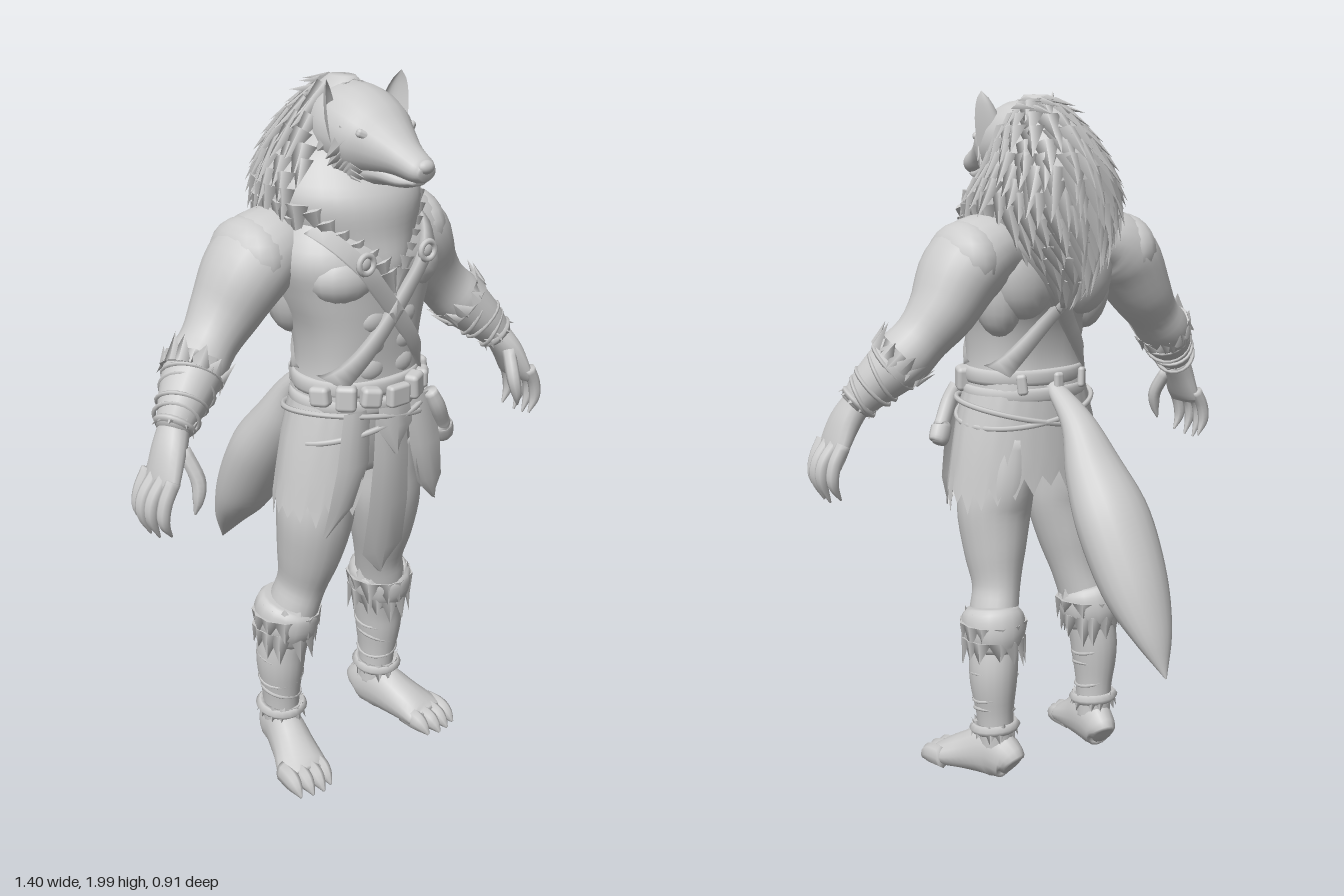
import * as THREE from 'three';
import { mergeGeometries } from 'three/addons/utils/BufferGeometryUtils.js';
import { RoundedBoxGeometry } from 'three/addons/geometries/RoundedBoxGeometry.js';

const V = (x, y, z) => new THREE.Vector3(x, y, z);
const { sin, cos, abs, PI, sign, pow } = Math;
let seed = 7;
const rnd = () => ((seed = (seed * 16807) % 2147483647) / 2147483647);

// Surface through rows of points; closed rows wrap round and get end caps
function skin(rows, closed = true) {
  const n = rows[0].length, pos = [], idx = [];
  rows.forEach(r => r.forEach(p => pos.push(p.x, p.y, p.z)));
  for (let i = 0; i < rows.length - 1; i++) for (let j = 0; j < (closed ? n : n - 1); j++) {
    const a = i * n + j, b = i * n + (j + 1) % n;
    idx.push(a, b, b + n, a, b + n, a + n);
  }
  if (closed) [0, rows.length - 1].forEach((r, end) => {
    const c = rows[r].reduce((s, p) => s.add(p), V(0, 0, 0)).divideScalar(n), k = pos.length / 3;
    pos.push(c.x, c.y, c.z);
    for (let j = 0; j < n; j++) {
      const a = r * n + j, b = r * n + (j + 1) % n;
      end ? idx.push(a, b, k) : idx.push(b, a, k);
    }
  });
  const g = new THREE.BufferGeometry();
  g.setAttribute('position', new THREE.Float32BufferAttribute(pos, 3));
  g.setIndex(idx);
  g.computeVertexNormals();
  return g;
}

// Limb along [x, y, z, radiusU, radiusV] stations
function limb(st, ref = V(0, 0, 1), sides = 16, steps = 4) {
  const path = new THREE.CatmullRomCurve3(st.map(s => V(s[0], s[1], s[2])), false, 'catmullrom', 0.5);
  const rad = new THREE.CatmullRomCurve3(st.map(s => V(s[3], s[4], 0)), false, 'catmullrom', 0.5);
  const n = (st.length - 1) * steps, rows = [];
  for (let i = 0; i <= n; i++) {
    const c = path.getPoint(i / n), t = path.getTangent(i / n), r = rad.getPoint(i / n);
    const u = t.clone().cross(ref).normalize(), v = t.clone().cross(u);
    rows.push(Array.from({ length: sides }, (_, j) => {
      const q = j / sides * 2 * PI;
      return c.clone().addScaledVector(u, r.x * cos(q)).addScaledVector(v, r.y * sin(q));
    }));
  }
  return skin(rows);
}

function clean(g) {
  const r = g.index ? g.toNonIndexed() : g;
  r.deleteAttribute('uv');
  return r;
}
const merge = list => mergeGeometries(list.map(clean));
const ball = (x, y, z, a, b, c) => new THREE.SphereGeometry(1, 18, 12).scale(a, b, c).translate(x, y, z);

function mirrored(g) {
  const m = clean(g.clone()).scale(-1, 1, 1);
  for (const a of [m.attributes.position, m.attributes.normal]) for (let i = 0; i < a.count; i += 3) {
    const p = V().fromBufferAttribute(a, i + 1), q = V().fromBufferAttribute(a, i + 2);
    a.setXYZ(i + 1, q.x, q.y, q.z);
    a.setXYZ(i + 2, p.x, p.y, p.z);
  }
  return m;
}

// Flattened pointed lock of fur
function lock(p, dir, out, w, h) {
  const y = dir.clone().normalize(), x = y.clone().cross(out).normalize(), z = x.clone().cross(y);
  return clean(new THREE.ConeGeometry(w, h, 4)).scale(1, 1, 0.36).translate(0, h / 2 - 0.01, 0)
    .applyMatrix4(new THREE.Matrix4().makeBasis(x, y, z).setPosition(p));
}

// Ring of fur locks round an axis
function furRing(c, axis, r, n, len, flare = 0.3, w = 0.03) {
  const t = axis.clone().normalize(), u = t.clone().cross(V(0, 0, 1)).normalize(), v = t.clone().cross(u), out = [];
  for (let i = 0; i < n; i++) {
    const q = (i + rnd() * 0.5) / n * 2 * PI, o = u.clone().multiplyScalar(cos(q)).addScaledVector(v, sin(q));
    out.push(lock(c.clone().addScaledVector(o, r), t.clone().addScaledVector(o, flare), o, w, len * (0.7 + 0.6 * rnd())));
  }
  return merge(out);
}

// Band wound round a limb
function wrap(c, axis, r, tube = 0.006) {
  const q = new THREE.Quaternion().setFromUnitVectors(V(0, 0, 1), axis.clone().normalize());
  return new THREE.TorusGeometry(r, tube, 5, 20).applyQuaternion(q).translate(c.x, c.y, c.z);
}

// Horizontal sections [radiusX, centreZ, radiusZ] at even heights
const section = (y0, y1, list) => {
  const c = new THREE.CatmullRomCurve3(list.map(s => V(...s)), false, 'catmullrom', 0.5);
  return y => c.getPoint(THREE.MathUtils.clamp((y - y0) / (y1 - y0), 0, 1));
};
const torsoAt = section(0.95, 1.75, [[.17, .175, .12], [.185, .18, .14], [.178, .185, .145], [.168, .19, .135],
  [.18, .185, .145], [.215, .165, .17], [.24, .15, .185], [.19, .12, .16], [.11, .12, .11]]);
const maneAt = section(1.4, 2.0, [[.02, .13, .14], [.115, .125, .215], [.19, .11, .225], [.215, .105, .22],
  [.165, .08, .175], [.105, .1, .12], [.01, .13, .02]]);
const onRing = (s, y, q, e = 1) => V(s.x * sign(cos(q)) * pow(abs(cos(q)), e), y, s.y + s.z * sign(sin(q)) * pow(abs(sin(q)), e));
const stack = (at, y0, y1, n, sides, e) => skin(Array.from({ length: n + 1 }, (_, i) => {
  const y = y0 + (y1 - y0) * i / n;
  return Array.from({ length: sides }, (_, j) => onRing(at(y), y, -j / sides * 2 * PI, e));
}));
const torsoZ = (x, y, side) => {
  const s = torsoAt(y), k = Math.min(0.97, abs(x / s.x));
  return s.y + side * s.z * pow(1 - pow(k, 2.5), 0.4);
};

export function createModel() {
  const model = new THREE.Group();
  const grey = new THREE.MeshStandardMaterial({ color: 0xcccccc, side: THREE.DoubleSide });
  grey.name = 'clay grey';
  const add = (name, g) => {
    const m = new THREE.Mesh(g, grey);
    m.name = name;
    model.add(m);
  };
  const pair = (name, g) => { add(name + 'Left', g); add(name + 'Right', mirrored(g)); };

  // Torso and muscles
  add('torso', stack(torsoAt, 0.95, 1.75, 32, 36, 0.8));
  const abdomen = [1.25, 1.32, 1.385].map(y => ball(.048, y, torsoZ(.048, y, 1) - .016, .045, .036, .022));
  pair('muscles', merge([ball(.1, 1.5, .255, .108, .08, .083), ball(.15, 1.46, .1, .072, .14, .085),
    ball(.1, 1.5, .045, .1, .13, .07), ball(.275, 1.542, .083, .088, .106, .128), ...abdomen]));

  // Arms, hands
  pair('arm', limb([[.15, 1.575, .085, .085, .1], [.22, 1.56, .085, .105, .12], [.285, 1.51, .085, .11, .125], [.35, 1.415, .08, .092, .1],
    [.41, 1.345, .09, .076, .08], [.465, 1.29, .105, .078, .085], [.53, 1.225, .14, .064, .066], [.58, 1.165, .165, .043, .045]], undefined, 20));
  const hand = [limb([[.57, 1.18, .16, .04, .042], [.605, 1.12, .18, .036, .058], [.635, 1.05, .19, .025, .066], [.64, 1.03, .19, .012, .05]]),
    limb([[.58, 1.13, .21, .02, .02], [.565, 1.06, .248, .02, .02], [.572, 1.01, .258, .015, .015], [.582, .97, .255, .003, .003]], undefined, 8)];
  for (let i = 0; i < 4; i++) {
    const z = .133 + i * .037, d = abs(i - 1.4) * .012;
    hand.push(limb([[.635, 1.07, z, .02, .018], [.68 - d, 1.02, z, .019, .018], [.687 - d, .97, z, .016, .016], [.665 - d, .905 + d, z, .003, .003]], undefined, 8));
  }
  pair('hand', merge(hand));

  // Forearm wraps with fur at elbow and wrist
  const down = V(.115, -.125, .06), up = down.clone().negate();
  pair('forearmWraps', merge([0, 1, 2, 3].map(i => wrap(V(.485 + i * .025, 1.27 - i * .026, .118 + i * .012),
    down.clone().add(V(0, (i % 2) * .05, .03)), .077 - i * .006))));
  pair('elbowFur', merge([furRing(V(.475, 1.285, .11), up, .08, 11, .058, .35), furRing(V(.465, 1.295, .105), down, .078, 10, .045, .25)]));
  pair('wristFur', merge([furRing(V(.565, 1.18, .16), up, .046, 9, .036, .5, .02),
    furRing(V(.565, 1.18, .16), down, .046, 9, .034, .5, .02), wrap(V(.57, 1.178, .16), down, .045, .012)]));

  // Legs
  pair('leg', limb([[.1, 1.02, .17, .085, .125], [.115, .9, .165, .1, .125], [.125, .8, .17, .107, .113], [.135, .68, .155, .088, .097],
    [.145, .58, .135, .067, .078], [.165, .5, .12, .068, .08], [.185, .38, .095, .07, .078], [.19, .3, .09, .066, .074],
    [.187, .2, .088, .052, .06], [.183, .08, .085, .05, .055]], undefined, 20));
  pair('legWraps', merge([.33, .27, .22].map((y, i) => wrap(V(.188, y, .09), V(i % 2 ? .25 : -.2, 1, .15), .068 - i * .005, .005))));
  const floor = V(0, -1, 0), sky = V(0, 1, 0);
  pair('kneeFur', merge([limb([[.172, .525, .115, .07, .08], [.175, .5, .11, .089, .098], [.18, .45, .102, .09, .1], [.185, .4, .096, .072, .082]]),
    furRing(V(.181, .435, .1), floor, .084, 13, .075, .12, .034), furRing(V(.177, .48, .106), floor, .09, 11, .055, .08, .034),
    furRing(V(.175, .495, .11), sky, .08, 12, .035, .05)]));
  pair('ankleFur', merge([wrap(V(.187, .165, .09), V(0, 1, .1), .06, .016), furRing(V(.187, .165, .09), floor, .062, 11, .042, .3, .022),
    furRing(V(.187, .165, .09), sky, .06, 11, .034, .3, .022)]));

  // Feet with clawed toes
  const foot = [limb([[.172, .055, .022, .03, .04], [.176, .07, .04, .048, .066], [.188, .083, .1, .055, .081], [.212, .062, .18, .064, .061],
    [.235, .042, .25, .076, .041], [.24, .035, .28, .066, .03]], sky)];
  for (let i = 0; i < 4; i++) {
    const x = .187 + i * .035, f = .012 * (1.5 - abs(i - 1.3));
    foot.push(limb([[x - .004, .04, .22, .02, .034], [x, .038, .27 + f, .022, .034], [x + .003, .028, .3 + f, .017, .025],
      [x + .006, .01, .325 + f, .003, .005]], sky, 8));
  }
  pair('foot', merge(foot));

  // Tail
  add('tail', limb([[0, 1.175, .05, .025, .02], [0, 1.08, -.068, .052, .042], [0, .955, -.143, .088, .076], [0, .83, -.228, .112, .094],
    [0, .67, -.32, .1, .084], [0, .55, -.397, .062, .046], [0, .44, -.455, .002, .002]], undefined, 20, 6));

  // Head: skull, jaw, nose, brows, eyes and cheek fur
  add('head', limb([[0, 1.84, .06, .09, .09], [0, 1.855, .16, .122, .115], [0, 1.835, .25, .117, .105], [0, 1.82, .31, .085, .076],
    [0, 1.803, .37, .055, .047], [0, 1.786, .425, .042, .033], [0, 1.782, .447, .026, .02]], sky, 20));
  add('jaw', limb([[0, 1.77, .22, .1, .06], [0, 1.765, .31, .062, .035], [0, 1.755, .375, .042, .02], [0, 1.757, .42, .026, .01]], sky, 14));
  add('nose', ball(0, 1.797, .44, .025, .018, .017));
  pair('brow', new RoundedBoxGeometry(.075, .022, .035, 2, .009).rotateZ(.38).rotateY(.5).translate(.06, 1.857, .3));
  pair('eye', ball(.055, 1.835, .31, .016, .008, .01));
  const cheek = [];
  for (let i = 0; i < 14; i++) {
    const k = (i >> 1) / 6, b = i % 2;
    cheek.push(lock(V(.1 - .02 * k, 1.85 - k * .1, .26 - .05 * b), V(.45 - .35 * k, -.7, -.55), V(.9, -.1, .5), .036, .085));
  }
  pair('cheekFur', merge(cheek));

  // Ears: hollow leaf shapes
  const ear = [];
  for (let i = 0; i <= 8; i++) {
    const k = i / 8, w = .048 * pow(1 - k, .7) * (1 + .6 * k) + .001;
    ear.push(Array.from({ length: 9 }, (_, j) => {
      const a = -1 + j / 4;
      return V(.088 + .036 * k + a * w * .75, 1.84 + .15 * k, .205 + .005 * k + a * w * .5 - (1 - a * a) * w * .65);
    }));
  }
  pair('ear', skin(ear, false));

  // Mane body, overlapping locks and swept-back crest
  add('mane', stack(maneAt, 1.4, 1.98, 28, 36, 1));
  const locks = [];
  for (let r = 0; r < 15; r++) {
    const y = 1.95 - r * .034, s = maneAt(y), n = Math.round(7 + s.x * 75);
    for (let j = 0; j < n; j++) {
      const q = (j + .5 * (r % 2) + .4 * rnd()) / n * 2 * PI, p = onRing(s, y, q);
      if (sin(q) > .5) continue;
      const o = V(cos(q) / s.x, 0, sin(q) / s.z).normalize(), low = onRing(maneAt(y - .03), y - .03, q);
      const d = low.sub(p).normalize().addScaledVector(o, .12).add(V(0, 0, -.12));
      locks.push(lock(p, d, o.add(V(0, .3, 0)).normalize(), .028 + .012 * rnd(), .08 + .04 * rnd()));
    }
  }
  for (let r = 0; r < 5; r++) for (let i = -2; i <= 2; i++) {
    const p = V(i * .026 + .012 * (r % 2), 1.932 + .04 * sin(r / 4 * 2) - .006 * i * i, .26 - r * .05);
    locks.push(lock(p, V(i * .07, .22 - r * .1, -1), V(i * .15, 1, .2), .026, .085 + .03 * rnd()));
  }
  add('maneLocks', merge(locks));
  const bib = [];
  for (let i = 0; i < 7; i++) {
    const y = 1.67 - i * .027;
    bib.push(lock(onRing(maneAt(y), y, .6 + i * .14), V(-.3, -1, .04), V(.5 - .07 * i, .1, 1), .034, .075));
  }
  pair('chestFur', merge(bib));

  // Crossed straps, front and back, with rings
  const strap = (x0, y0, x1, y1, side) => skin(Array.from({ length: 25 }, (_, i) => {
    const k = i / 24, x = x0 + (x1 - x0) * k, y = y0 + (y1 - y0) * k, nx = (y0 - y1), ny = (x1 - x0), l = Math.hypot(nx, ny);
    const at = (w, d) => V(x + nx / l * w, y + ny / l * w, torsoZ(x + nx / l * w, y + ny / l * w, side) + side * d);
    return [at(-.021, -.02), at(.021, -.02), at(.021, .016), at(-.021, .016)];
  }));
  for (const [name, side] of [['frontStrap', 1], ['backStrap', -1]]) pair(name, strap(-.18, 1.63, .15, 1.22, side));
  pair('strapRing', merge([new THREE.TorusGeometry(.024, .008, 8, 20).translate(.105, 1.55, .347), ball(.105, 1.55, .34, .02, .02, .012)]));

  // Belt, buckle, pouches and slung cords
  const hoop = (y, rx, rz, h) => new THREE.LatheGeometry([[.9, -h], [1, -h], [1.035, -h * .5], [1.035, h * .5], [1, h], [.9, h]]
    .map(p => new THREE.Vector2(...p)), 40).scale(rx, 1, rz).translate(0, y, .188);
  add('belt', merge([hoop(1.2, .18, .15, .022), hoop(1.15, .186, .155, .02)]));
  const pouches = [22, 45, 66, 114, 135, 158, 235, 270, 305].map((deg, i) => {
    const q = deg * PI / 180, back = deg > 180;
    return new RoundedBoxGeometry(back ? .03 : .056, back ? .06 : .07 - .015 * (i % 2), back ? .02 : .042, 3, .013)
      .rotateZ(.12 * (i % 3 - 1)).rotateY(Math.atan2(cos(q), sin(q))).translate(.186 * cos(q), 1.185, .188 + .167 * sin(q));
  });
  add('pouches', merge(pouches));
  add('buckle', new RoundedBoxGeometry(.07, .06, .03, 2, .01).translate(0, 1.18, .362));
  const cord = (tilt, y) => new THREE.TubeGeometry(new THREE.CatmullRomCurve3(Array.from({ length: 16 }, (_, i) => {
    const q = i / 16 * 2 * PI;
    return V(.212 * cos(q), y + tilt * cos(q) + .02 * sin(q), .188 + .168 * sin(q));
  }), true), 60, .008, 6, true);
  add('cords', merge([cord(.04, 1.085), cord(-.035, 1.1)]));
  add('hipSheath', limb([[.14, 1.15, .335, .02, .02], [.165, 1.1, .34, .024, .022], [.2, 1.04, .325, .024, .022], [.205, 1.03, .322, .031, .028],
    [.222, .995, .312, .03, .027], [.228, .985, .31, .015, .014]], undefined, 10));

  // Ragged hide skirt, open at the front
  const skirt = [];
  for (let i = 0; i <= 48; i++) {
    const q = (113 + i / 48 * 314) * PI / 180;
    const hem = .91 - .05 * cos(q) * cos(q) + (i % 2 ? -.04 : .015) * (.5 + rnd());
    skirt.push([0, .35, .7, 1].map(k => onRing(V(.195 + .06 * pow(k, .7), .185, .152 + .014 * k), 1.15 + (hem - 1.15) * k, q)));
  }
  add('skirt', skin(skirt, false));

  // Hanging cloth panels: [y, half width, z, shift x] rows
  const panel = (x, rows) => skin(rows.map(([y, w, z, dx = 0]) => [-1, -.5, 0, .5, 1].map(a => V(x + dx + a * w, y, z - .012 * a * a))), false);
  add('frontFlap', panel(0, [[1.15, .05, .345], [1, .062, .352], [.85, .07, .345], [.71, .073, .325], [.63, .002, .31]]));
  add('flapTip', panel(0, [[1.15, .055, .36], [1.09, .06, .367], [1.01, .002, .366]]));
  pair('sidePanel', panel(.11, [[1.15, .045, .337], [1, .055, .347, .02], [.88, .045, .337, .05], [.8, .002, .31, .09]]));
  return model;
}
